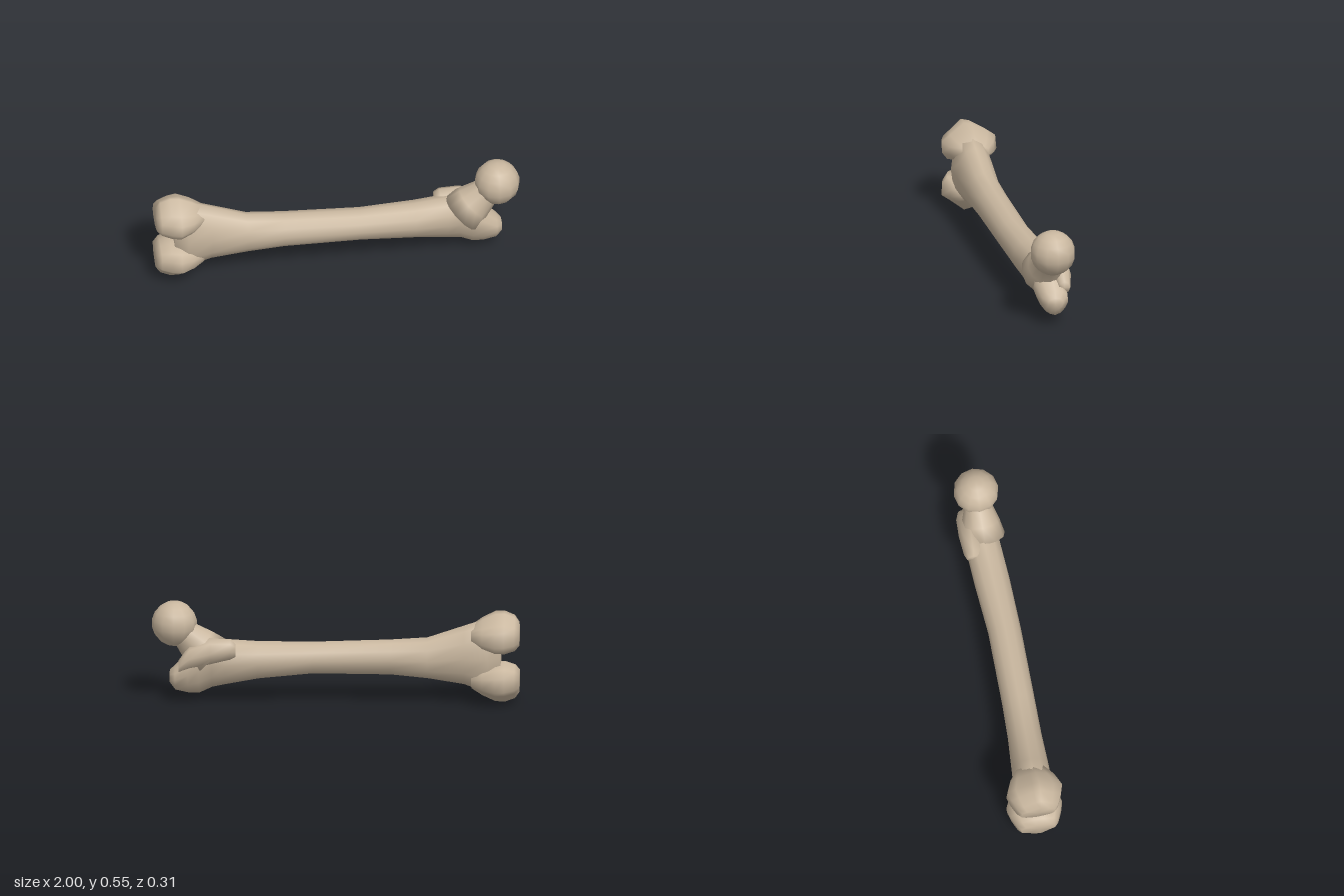
import * as THREE from 'three';

const bone = new THREE.MeshStandardMaterial({ color: 0xc9b79f });
bone.name = 'bone';

// Skins a closed solid over rings of [x, y, z] points, ordered along +x.
function skin(rings) {
  const n = rings[0].length, m = rings.length, pos = [], idx = [];
  rings.forEach(r => r.forEach(p => pos.push(...p)));
  for (let i = 0; i < m - 1; i++) for (let j = 0; j < n; j++) {
    const k = (j + 1) % n, a = i * n + j, b = i * n + k;
    idx.push(a, b, a + n, b, b + n, a + n);
  }
  [0, m - 1].forEach(e => {
    const c = pos.length / 3;
    for (let q = 0; q < 3; q++) pos.push(rings[e].reduce((s, p) => s + p[q], 0) / n);
    for (let j = 0; j < n; j++) {
      const a = e * n + j, b = e * n + (j + 1) % n;
      idx.push(c, e ? a : b, e ? b : a);
    }
  });
  const g = new THREE.BufferGeometry();
  g.setAttribute('position', new THREE.Float32BufferAttribute(pos, 3));
  g.setIndex(idx);
  g.computeVertexNormals();
  return g;
}

// Oval ring: bottom, top, back, front, and how much the bottom narrows.
function oval([x, y0, y1, zb, zf, narrow = 0], n = 12) {
  return Array.from({ length: n }, (_, j) => {
    const a = j / n * Math.PI * 2, c = Math.cos(a), s = Math.sin(a);
    const k = 1 - narrow * (1 - c) / 2;
    return [x, (y0 + y1) / 2 + c * (y1 - y0) / 2, (zb + zf) / 2 + s * k * (zf - zb) / 2];
  });
}

export function createModel() {
  const group = new THREE.Group();
  const add = (name, geometry) => {
    const mesh = new THREE.Mesh(geometry, bone);
    mesh.name = name;
    group.add(mesh);
    return mesh;
  };

  // Shaft, flaring into both ends
  add('shaft', skin([
    [-0.90, 0.10, 0.42, -0.06, 0.07],
    [-0.83, 0.05, 0.475, -0.10, 0.115],
    [-0.70, 0.10, 0.43, -0.09, 0.115],
    [-0.50, 0.13, 0.36, -0.075, 0.11],
    [-0.30, 0.148, 0.345, -0.07, 0.11],
    [0.12, 0.15, 0.328, -0.07, 0.11],
    [0.42, 0.122, 0.332, -0.10, 0.11, 0.15],
    [0.60, 0.09, 0.345, -0.12, 0.11, 0.35],
    [0.67, 0.075, 0.36, -0.123, 0.11, 0.5],
    [0.74, 0.042, 0.33, -0.125, 0.11, 0.55],
    [0.80, 0.043, 0.27, -0.12, 0.10, 0.5],
    [0.87, 0.06, 0.20, -0.105, 0.075, 0.4],
    [0.90, 0.10, 0.17, -0.06, 0.04, 0.3],
  ].map(r => oval(r))));

  // Condyles: one outline of [y, z], reused upside down for the upper one
  const outline = [[0.225, 0.05], [0.205, 0.125], [0.165, 0.154], [0.10, 0.157], [0.065, 0.11], [0.0, 0.03],
    [0.01, -0.01], [0.06, -0.10], [0.09, -0.145], [0.17, -0.152], [0.21, -0.11], [0.235, -0.02]];
  const slices = [[-1.0, 0.55, 0.6], [-0.975, 0.83, 0.74], [-0.92, 1, 0.9], [-0.87, 0.98, 1], [-0.80, 0.72, 0.8], [-0.74, 0.4, 0.5]];
  const condyle = flip => skin(slices.map(([x, ky, kz]) => {
    const ring = outline.map(([y, z]) => {
      const h = 0.13 + (y - 0.13) * ky;
      return [x, flip ? 0.513 - h : h, z * kz];
    });
    return flip ? ring.reverse() : ring;
  }));
  add('lowerCondyle', condyle(false));
  add('upperCondyle', condyle(true));

  // Ball head
  const head = add('head', new THREE.SphereGeometry(0.124, 12, 9));
  head.position.set(0.876, 0.429, 0);

  // Neck, leaning from the shaft up to the head
  const from = new THREE.Vector3(0.68, 0.245, 0), to = new THREE.Vector3(0.865, 0.415, 0);
  const axis = to.clone().sub(from), length = axis.length();
  const neck = add('neck', new THREE.LatheGeometry(
    [[0, 0], [0.13, 0], [0.11, 0.35], [0.084, 0.68], [0.085, 1], [0, 1]]
      .map(([r, t]) => new THREE.Vector2(r, t * length)), 12));
  neck.position.copy(from);
  neck.quaternion.setFromUnitVectors(new THREE.Vector3(0, 1, 0), axis.normalize());
  neck.scale.z = 0.95;

  // Raised ridge at the back, beside the neck
  add('trochanterRidge', skin([
    [0.54, 0.26, 0.335, -0.11, -0.04],
    [0.57, 0.24, 0.358, -0.122, -0.02],
    [0.68, 0.21, 0.365, -0.13, 0.0],
    [0.79, 0.19, 0.325, -0.125, -0.02],
    [0.85, 0.17, 0.24, -0.105, -0.04],
  ].map(r => oval(r, 8))));

  return group;
}
